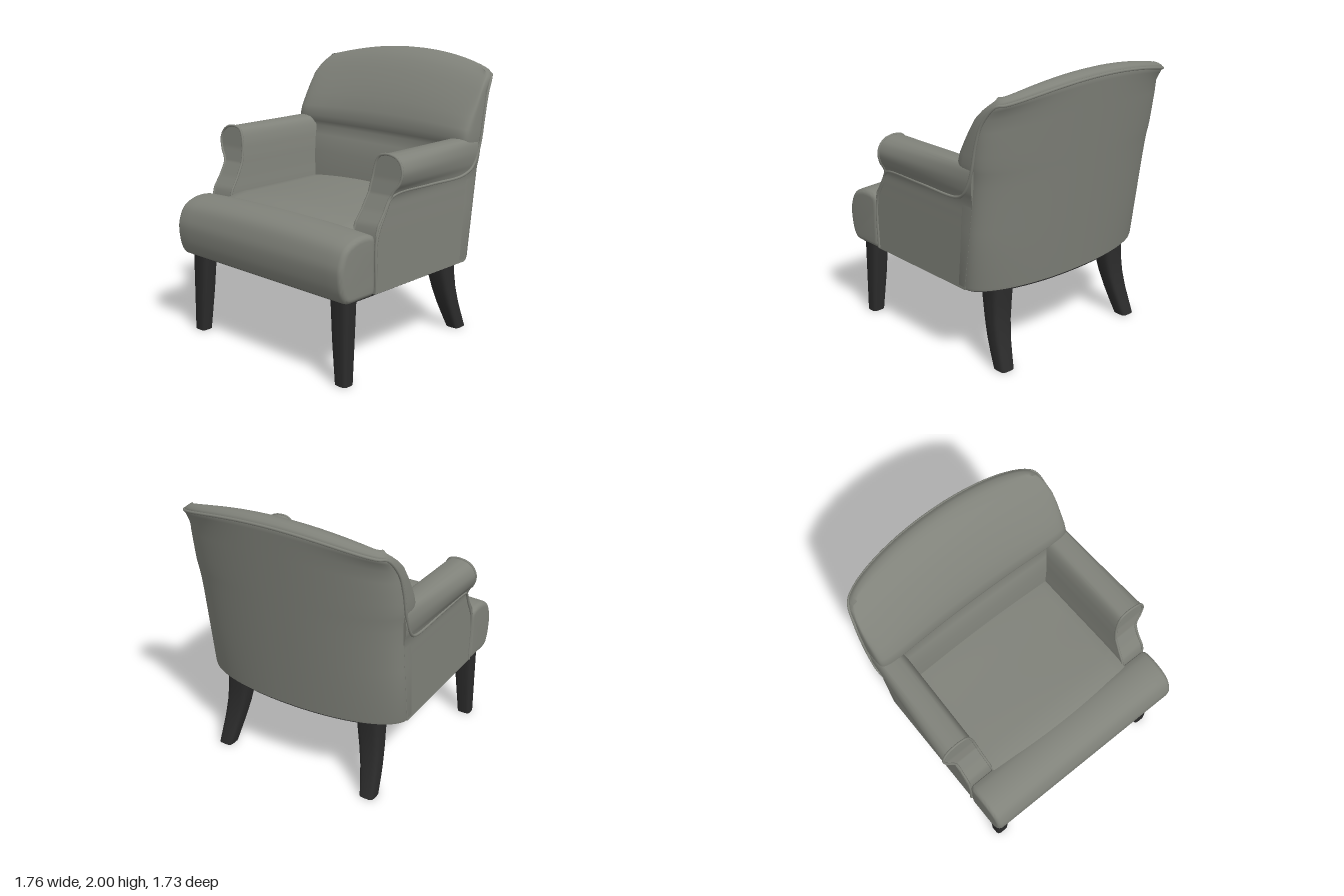
import * as THREE from 'three';
import { toCreasedNormals } from 'three/addons/utils/BufferGeometryUtils.js';

const fabric = new THREE.MeshStandardMaterial({ color: 0x80827a });
fabric.name = 'grey upholstery';
const darkWood = new THREE.MeshStandardMaterial({ color: 0x2b2b2b });
darkWood.name = 'dark wood';

const add = (parent, name, geometry, material) => {
  const mesh = new THREE.Mesh(geometry, material);
  mesh.name = name;
  parent.add(mesh);
};

// Skin between rings of points, closed at both ends by strips joining opposite points
function loft(rings, crease) {
  const n = rings[0].length, last = (rings.length - 1) * n, pos = [], index = [];
  rings.forEach(r => r.forEach(p => pos.push(p.x, p.y, p.z)));
  for (let i = 0; i < last; i += n) for (let j = 0; j < n; j++) {
    const a = i + j, b = i + (j + 1) % n;
    index.push(a, a + n, b, b, a + n, b + n);
  }
  for (let j = 0; j < n / 2 - 1; j++) {
    const a = j, b = j + 1, c = n - 2 - j, d = n - 1 - j;
    index.push(a, b, c, a, c, d);
    index.push(last + a, last + c, last + b, last + a, last + d, last + c);
  }
  const g = new THREE.BufferGeometry();
  g.setAttribute('position', new THREE.Float32BufferAttribute(pos, 3));
  g.setIndex(index);
  return toCreasedNormals(g, crease);
}

const tube = (pts, n, r) => new THREE.TubeGeometry(
  new THREE.CatmullRomCurve3(pts, false, 'centripetal'), n, r, 8);

// Back: height, front z, half width, hollow of the front, wrap of the sides, rear z
const lean = y => -0.67 - 0.137 * (y - 0.58);
const row = (y, front, w, hollow, wrap = 0.27, rear = lean(y)) => ({ y, front, w, hollow, wrap, rear });
const backRows = [
  row(0.58, -0.31, 0.79, 0), row(0.6, -0.31, 0.797, 0), row(1.0, -0.32, 0.797, 0),
  row(1.2, -0.34, 0.797, 0.01), row(1.32, -0.368, 0.8, 0.03), row(1.385, -0.4, 0.805, 0.05),
  row(1.42, -0.388, 0.81, 0.06), row(1.47, -0.375, 0.814, 0.065), row(1.55, -0.395, 0.814, 0.06),
  row(1.65, -0.44, 0.812, 0.05), row(1.75, -0.5, 0.81, 0.05), row(1.85, -0.57, 0.803, 0.055),
  row(1.92, -0.63, 0.79, 0.065, 0.22), row(1.96, -0.68, 0.775, 0.08, 0.18),
  row(1.985, -0.73, 0.752, 0.1, 0.15, -0.845), row(1.996, -0.76, 0.735, 0.115, 0.135, -0.815),
  row(2.0, -0.787, 0.72, 0.125, 0.125, -0.787),
];
function backPoint(r, c, isFront) {
  const bulge = n => 1 - Math.pow(Math.max(0, 1 - Math.pow(Math.abs(c), n)), 1 / n);
  const edge = r.rear + r.wrap - r.front - r.hollow;
  const x = r.w * c;
  const high = THREE.MathUtils.clamp((r.y - 1.4) / 0.6, 0, 1);
  return new THREE.Vector3(x, r.y - 0.11 * high * (x / 0.78) ** 2, isFront
    ? r.front + r.hollow * bulge(2.1) + edge * bulge(7)
    : r.rear + r.wrap * bulge(2.1));
}
function backRing(r) {
  const ring = [], n = 96;
  for (let j = 0; j < n; j++) {
    const a = 2 * Math.PI * (j + 0.5) / n, c = Math.cos(a);
    ring.push(backPoint(r, Math.sign(c) * Math.pow(Math.abs(c), 0.7), j < n / 2));
  }
  return ring;
}

// Arm: inner x, height and outer x of the rolled section
const armLevels = new THREE.CatmullRomCurve3([
  [0.57, 0.58, 0.796], [0.575, 0.8, 0.796], [0.58, 1.0, 0.796], [0.59, 1.1, 0.796], [0.597, 1.18, 0.799],
  [0.601, 1.23, 0.82], [0.607, 1.28, 0.855], [0.618, 1.35, 0.873], [0.638, 1.41, 0.853],
  [0.665, 1.442, 0.815], [0.715, 1.456, 0.765]].map(p => new THREE.Vector3(...p)), false, 'centripetal').getPoints(50);
const armFront = y => {
  const s = [[0.5, 0.53], [0.95, 0.525], [1.02, 0.505], [1.1, 0.45], [1.2, 0.395], [1.3, 0.372], [1.5, 0.353]];
  const i = Math.max(1, s.findIndex(p => p[0] >= y));
  return THREE.MathUtils.mapLinear(y, s[i - 1][0], s[i][0], s[i - 1][1], s[i][1]);
};
// Section at t, from the back (0) to the sloping front (1)
function armRing(t, side) {
  const point = (x, y) => {
    const taper = -0.7 * Math.max(0, x - 0.796) * (1 - t) + 0.025 * t * Math.max(0, (0.75 - x) / 0.17);
    return new THREE.Vector3(side * (x + taper), y, THREE.MathUtils.lerp(lean(y) + 0.25, armFront(y), t));
  };
  const ring = [...armLevels.map(p => point(p.x, p.y)), ...armLevels.map(p => point(p.z, p.y)).reverse()];
  return side > 0 ? ring : ring.reverse();
}

// Cushion: side profile (z, y) drawn out across x with a crowned top
function cushion(profile, halfWidth, crown, bevel) {
  const outline = new THREE.SplineCurve(profile.map(p => new THREE.Vector2(...p))).getSpacedPoints(50);
  const g = new THREE.ExtrudeGeometry(new THREE.Shape(outline), {
    depth: 2 * (halfWidth - bevel), steps: 16, bevelEnabled: true, bevelThickness: bevel,
    bevelSize: bevel, bevelOffset: -bevel, bevelSegments: 5 });
  g.translate(0, 0, bevel - halfWidth).rotateY(-Math.PI / 2);
  const p = g.attributes.position;
  for (let i = 0; i < p.count; i++) {
    const top = THREE.MathUtils.smoothstep(p.getY(i), 0.75, 1);
    p.setY(i, p.getY(i) + crown * top * (1 - (p.getX(i) / halfWidth) ** 2));
  }
  return toCreasedNormals(g, 0.7);
}

// Leg: rounded-square sections [y, x, z, half width, half depth]
function leg(sections, side) {
  const soft = v => Math.sign(v) * Math.pow(Math.abs(v), 0.5);
  return loft(sections.map(([y, x, z, w, d]) => Array.from({ length: 24 }, (_, j) => {
    const a = 2 * Math.PI * j / 24;
    return new THREE.Vector3(side * x + w * soft(Math.cos(a)), y, z + d * soft(Math.sin(a)));
  })), 0.8);
}

export function createModel() {
  const chair = new THREE.Group();
  chair.name = 'armchair';

  add(chair, 'backrest', loft(backRows.map(backRing), 1.0), fabric);

  add(chair, 'seatCushion', cushion([[-0.4, 0.59], [-0.4, 0.8], [-0.4, 0.97], [-0.36, 1.0], [0, 1.0],
    [0.35, 1.0], [0.5, 0.99], [0.62, 0.955], [0.7, 0.88], [0.72, 0.75], [0.72, 0.59]], 0.61, 0.038, 0.015), fabric);
  add(chair, 'frontRoll', cushion([[0.56, 0.575], [0.53, 0.61], [0.53, 0.8], [0.53, 0.94], [0.56, 0.978],
    [0.65, 0.988], [0.74, 0.97], [0.81, 0.925], [0.85, 0.84], [0.858, 0.77], [0.845, 0.67],
    [0.815, 0.6], [0.77, 0.575], [0.66, 0.575]], 0.805, 0.025, 0.035), fabric);

  // Dark lining under the seat, following the rounded back
  const plan = [[0.77, -0.76], [-0.77, -0.76]].map(p => new THREE.Vector2(...p));
  for (let i = 0; i <= 32; i++) {
    const p = backPoint(backRows[0], -Math.cos(Math.PI * i / 32), false);
    plan.push(new THREE.Vector2(p.x * 0.97, -p.z * 0.98));
  }
  const lining = new THREE.ExtrudeGeometry(new THREE.Shape(plan), { depth: 0.02, bevelEnabled: false });
  lining.rotateX(-Math.PI / 2).translate(0, 0.564, 0);
  add(chair, 'underside', lining, darkWood);

  for (const side of [1, -1]) {
    const name = side > 0 ? 'left' : 'right';
    const rings = Array.from({ length: 11 }, (_, i) => armRing(i / 10, side));
    add(chair, name + 'Arm', loft(rings, 0.7), fabric);
    add(chair, name + 'ArmPiping', tube(rings[10].filter(p => p.y > 0.95), 100, 0.009), fabric);

    add(chair, name + 'FrontLeg', leg([[0, 0.708, 0.725, 0.05, 0.046], [0.3, 0.694, 0.714, 0.064, 0.057],
      [0.57, 0.686, 0.705, 0.072, 0.066]], side), darkWood);
    add(chair, name + 'BackLeg', leg([[0, 0.608, -0.588, 0.055, 0.056], [0.1, 0.596, -0.55, 0.062, 0.06],
      [0.2, 0.583, -0.515, 0.069, 0.063], [0.32, 0.567, -0.485, 0.078, 0.067],
      [0.45, 0.552, -0.465, 0.086, 0.076], [0.57, 0.546, -0.457, 0.091, 0.086]], side), darkWood);
  }

  // Piping along the sides and over the top edge of the back
  const half = [[0.797, 0.59, 0.52], [0.797, 0.94, 0.517], [0.797, 1.1, 0.44], [0.802, 1.185, 0.395],
    [0.808, 1.21, 0.34], [0.806, 1.21, 0], [0.806, 1.212, -0.36], [0.818, 1.26, -0.45],
    [0.819, 1.4, -0.52], [0.816, 1.6, -0.565], [0.805, 1.74, -0.61]].map(p => new THREE.Vector3(...p));
  const topEdge = backRows.find(r => r.y === 1.96);
  for (const c of [0.995, 0.95, 0.85, 0.7, 0.5, 0.25]) half.push(backPoint(topEdge, c, false));
  const mirrored = half.map(p => new THREE.Vector3(-p.x, p.y, p.z)).reverse();
  add(chair, 'shellPiping', tube([...half, backPoint(topEdge, 0, false), ...mirrored], 240, 0.01), fabric);

  return chair;
}
